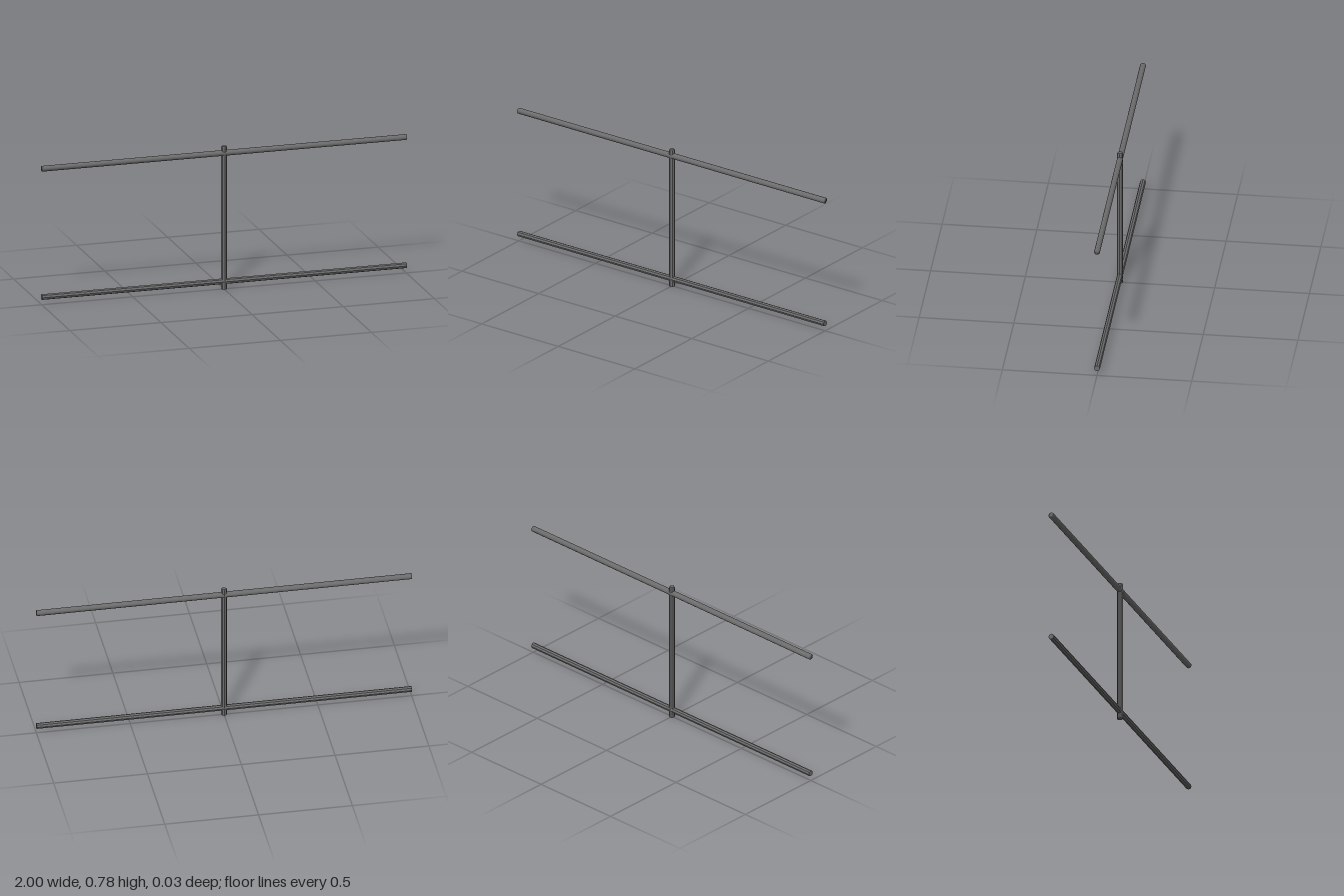
import * as THREE from 'three';
import { mergeVertices } from 'three/addons/utils/BufferGeometryUtils.js';

const R = 0.0155;

export function createModel() {
  const model = new THREE.Group();
  model.name = 'doubleBarFrame';
  const steel = new THREE.MeshStandardMaterial({ color: 0x6c6c6c });
  steel.name = 'dark grey steel';

  function add(name, geometry, y) {
    const mesh = new THREE.Mesh(geometry, steel);
    mesh.name = name;
    mesh.position.y = y;
    model.add(mesh);
  }

  // Faceted geometry: one normal per triangle
  function faceted(geometry) {
    const flat = geometry.toNonIndexed();
    flat.computeVertexNormals();
    return flat;
  }

  // Smooth geometry: normals blended across the whole surface
  function smooth(geometry) {
    geometry.deleteAttribute('normal');
    geometry.deleteAttribute('uv');
    const merged = mergeVertices(geometry, 1e-5);
    merged.computeVertexNormals();
    return merged;
  }

  // Octagonal upright with a small chamfer at the top
  const profile = [[0, 0], [R, 0], [R, 0.777], [R - 0.003, 0.781], [0, 0.781]]
    .map(([x, y]) => new THREE.Vector2(x, y));
  add('post', faceted(new THREE.LatheGeometry(profile, 8)), 0);

  // Long horizontal bars running along x
  const bar = (sides) => new THREE.CylinderGeometry(R, R, 2, sides).rotateZ(Math.PI / 2);
  add('lowerBar', faceted(bar(8)), 0.042);
  add('upperBar', smooth(bar(12)), 0.743);

  return model;
}
